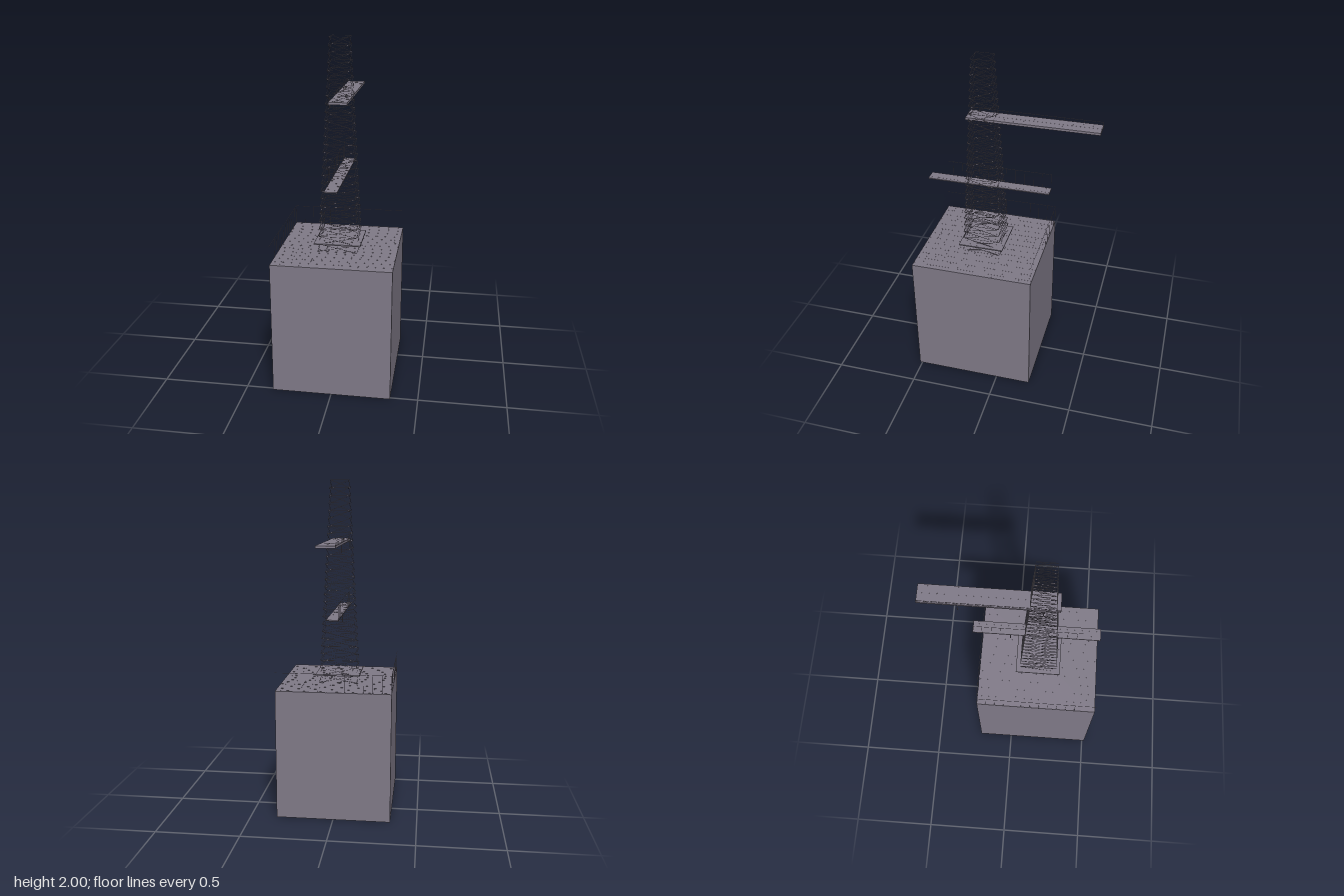
import * as THREE from 'three';
import { mergeGeometries } from 'three/addons/utils/BufferGeometryUtils.js';

const steel = new THREE.MeshStandardMaterial({ color: 0x807a88 });
steel.name = 'grey steel';

const PANEL = 0.0543;   // spacing of deck panels and rail posts
const ROD = 0.0016;     // thickness of thin members
const V = (x, y, z) => new THREE.Vector3(x, y, z);

// Square rod between two points
function rod(a, b, t = ROD) {
  const dir = b.clone().sub(a);
  const g = new THREE.BoxGeometry(t, t, dir.length());
  const m = new THREE.Matrix4().lookAt(b, a, Math.abs(dir.y) > 0.99 * dir.length() ? V(1, 0, 0) : V(0, 1, 0));
  return g.applyMatrix4(m.setPosition(a.clone().add(b).multiplyScalar(0.5)));
}

function box(x0, x1, y0, y1, z0, z1) {
  return new THREE.BoxGeometry(x1 - x0, y1 - y0, z1 - z0)
    .translate((x0 + x1) / 2, (y0 + y1) / 2, (z0 + z1) / 2);
}

// Slab with fine panel seams along its top
function deck(x0, x1, y0, y1, z0, z1, fromFront = true) {
  const parts = [box(x0, x1, y0, y1, z0, z1)];
  const s = 0.0004;
  for (let x = x0 + PANEL; x < x1 - 0.01; x += PANEL) parts.push(box(x - s, x + s, y1, y1 + s, z0, z1));
  for (let d = PANEL; d < z1 - z0 - 0.01; d += PANEL) {
    const z = fromFront ? z1 - d : z0 + d;
    parts.push(box(x0, x1, y1, y1 + s, z - s, z + s));
  }
  return parts;
}

// Top rail from a to b, with posts every panel along the first postLength
function railing(a, b, height, postLength) {
  const parts = [rod(a.clone().setY(a.y + height), b.clone().setY(b.y + height))];
  const dir = b.clone().sub(a).normalize();
  for (let d = 0; d <= postLength; d += PANEL) {
    const p = a.clone().addScaledVector(dir, d);
    parts.push(rod(p, p.clone().setY(a.y + height)));
  }
  return parts;
}

export function createModel() {
  const model = new THREE.Group();
  model.name = 'towerOnBlock';
  const add = (name, parts) => {
    const mesh = new THREE.Mesh(mergeGeometries(parts), steel);
    mesh.name = name;
    model.add(mesh);
  };

  // Solid base with a panelled roof
  const roof = 0.785;
  add('baseBlock', deck(-0.342, 0.342, 0, roof, -0.21, 0.515));

  // Railings on the right and back edges of the roof
  add('roofRailings', [
    ...railing(V(-0.341, roof, -0.209), V(-0.341, roof, 0.514), 0.11, 0.61),
    ...railing(V(-0.341, roof, -0.209), V(0.341, roof, -0.209), 0.11, 0.28),
  ]);

  // Tapering lattice tower: a ring and crossed braces on every level
  const cz = 0.153, levels = 27, lattice = [];
  const corner = (level, k) => {
    const t = level / levels;
    const r = THREE.MathUtils.lerp(0.115, 0.054, t);
    const sx = [1, 1, -1, -1][k % 4], sz = [1, -1, -1, 1][k % 4];
    return V(sx * r, THREE.MathUtils.lerp(roof, 1.999, t), cz + sz * r);
  };
  for (let i = 0; i <= levels; i++) {
    for (let k = 0; k < 4; k++) {
      lattice.push(rod(corner(i, k), corner(i, k + 1)));
      if (i === levels) continue;
      lattice.push(rod(corner(i, k), corner(i + 1, k + 1)));
      lattice.push(rod(corner(i, k + 1), corner(i + 1, k)));
    }
  }
  add('latticeTower', lattice);

  // Platform round the tower foot
  add('footPlatform', deck(-0.135, 0.135, 0.831, 0.838, 0.016, 0.286));

  // Lower walkway with a railing on its right side
  add('lowerWalkway', deck(-0.036, 0.036, 1.211, 1.217, -0.24, 0.495));
  add('lowerRailing', railing(V(-0.035, 1.217, -0.239), V(-0.035, 1.217, 0.39), 0.09, 0.63));

  // Upper walkway with a low kerb rail
  add('upperWalkway', deck(-0.053, 0.053, 1.638, 1.652, -0.515, 0.245, false));
  add('upperKerbRail', railing(V(-0.052, 1.652, -0.514), V(-0.052, 1.652, 0.244), 0.016, 0.76));

  // Short hangers below the walkways
  const hanger = (x, y, z) => new THREE.CylinderGeometry(0.003, 0.003, 0.04, 8).translate(x, y, z);
  add('hangers', [
    hanger(-0.06, 1.62, -0.297),
    hanger(-0.06, 1.62, 0.155),
    hanger(-0.036, 1.192, -0.022),
  ]);
  return model;
}
